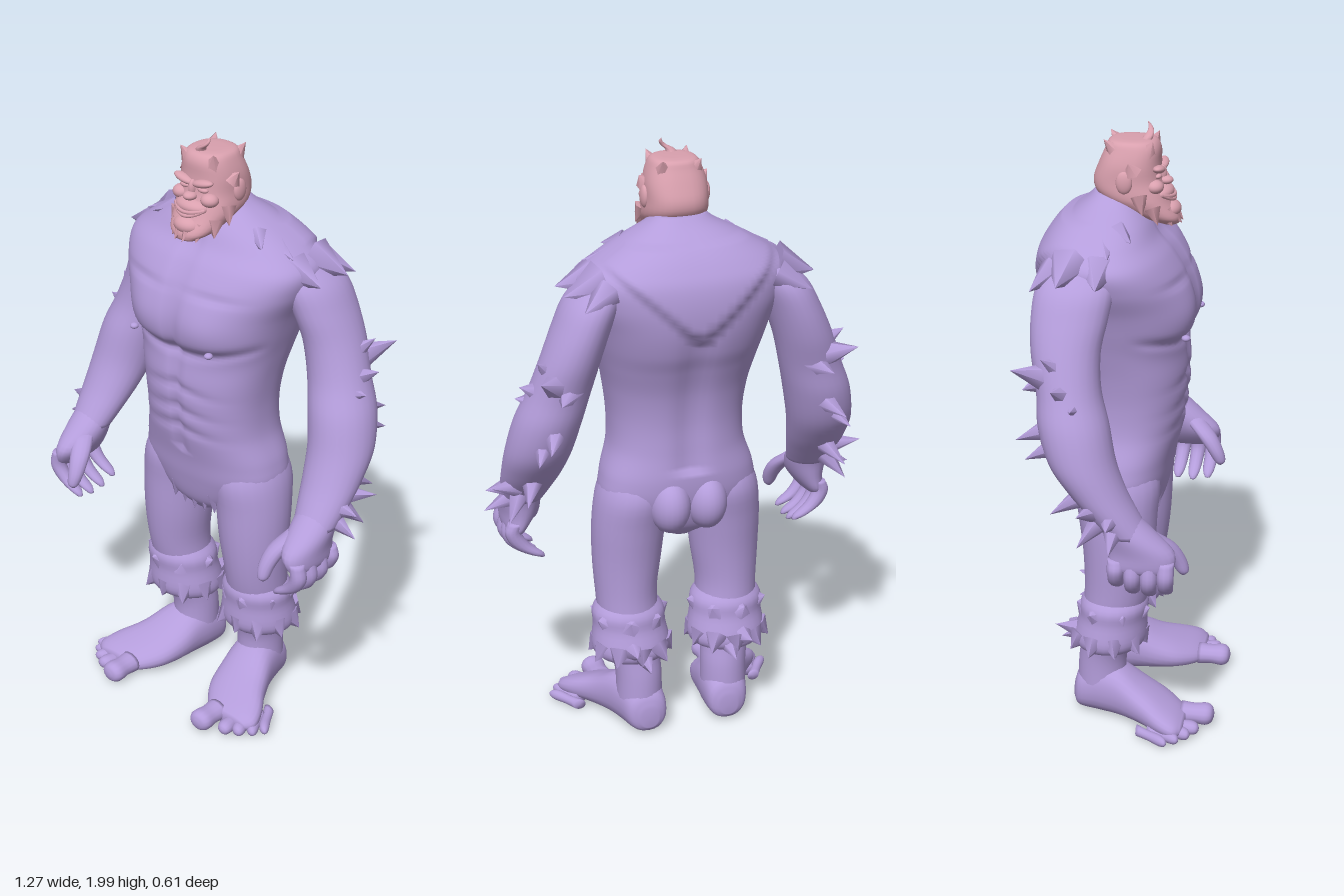
import * as THREE from 'three';
import { mergeGeometries } from 'three/addons/utils/BufferGeometryUtils.js';

const V = (x, y, z) => new THREE.Vector3(x, y, z);
const X = V(1, 0, 0), Y = V(0, 1, 0), Z = V(0, 0, 1);

// Smooth closed skin through sections [x, y, z, ru, rv]; rings lie in the u/v plane
function loft(sections, { u = X, v = Z, seg = 24, steps = 4, n = 2, rule } = {}) {
  const path = new THREE.CatmullRomCurve3(sections.map(s => V(s[0], s[1], s[2])), false, 'catmullrom');
  const radii = new THREE.CatmullRomCurve3(sections.map(s => V(s[3], s[4], 0)), false, 'catmullrom');
  const rows = (sections.length - 1) * steps, pos = [], idx = [];
  const pw = c => Math.sign(c) * Math.abs(c) ** (2 / n);
  for (let i = 0; i <= rows; i++) {
    const c = path.getPoint(i / rows), r = radii.getPoint(i / rows);
    for (let j = 0; j < seg; j++) {
      const a = j / seg * Math.PI * 2;
      const p = c.clone().addScaledVector(u, r.x * pw(Math.cos(a))).addScaledVector(v, r.y * pw(Math.sin(a)));
      if (rule) rule(p);
      pos.push(p.x, p.y, p.z);
    }
  }
  const first = path.getPoint(0), last = path.getPoint(1);
  pos.push(...first.toArray(), ...last.toArray());
  const out = u.clone().cross(v).dot(last.clone().sub(first)) > 0;
  const tri = (a, b, c) => out ? idx.push(a, b, c) : idx.push(a, c, b);
  for (let j = 0; j < seg; j++) {
    const k = (j + 1) % seg;
    for (let i = 0; i < rows; i++) {
      const a = i * seg + j, b = i * seg + k;
      tri(a, b, b + seg);
      tri(a, b + seg, a + seg);
    }
    tri((rows + 1) * seg, k, j);
    tri((rows + 1) * seg + 1, rows * seg + j, rows * seg + k);
  }
  const g = new THREE.BufferGeometry();
  g.setAttribute('position', new THREE.Float32BufferAttribute(pos, 3));
  g.setIndex(idx);
  g.computeVertexNormals();
  return g;
}

// Ellipsoid with optional tilt about z
function blob(x, y, z, rx, ry, rz, tilt = 0) {
  return new THREE.SphereGeometry(1, 24, 16).scale(rx, ry, rz).rotateZ(tilt).translate(x, y, z);
}

// Pointed tuft of fur from base to tip
function spike(base, tip, r) {
  const d = V(...tip).sub(V(...base)), len = d.length();
  const g = new THREE.ConeGeometry(r, len, 6).translate(0, len / 2, 0);
  return g.applyQuaternion(new THREE.Quaternion().setFromUnitVectors(Y, d.normalize())).translate(...base);
}

function mirrored(g) {
  const m = g.clone().scale(-1, 1, 1), a = m.index.array;
  for (let i = 0; i < a.length; i += 3) [a[i], a[i + 1]] = [a[i + 1], a[i]];
  return m;
}

// Ring of tufts around a limb
function tuftRing(c, rx, rz, count, drop, reach, r) {
  return mergeGeometries(Array.from({ length: count }, (_, i) => {
    const a = (i + 0.5) / count * Math.PI * 2, k = reach * (1 + 0.25 * Math.sin(i * 2.4));
    const ca = Math.cos(a), sa = Math.sin(a);
    return spike([c[0] + ca * rx, c[1], c[2] + sa * rz], [c[0] + ca * (rx + k), c[1] - drop, c[2] + sa * (rz + k)], r);
  }));
}

const gauss = (d, w) => Math.exp(-(d * d) / (w * w));

// Muscle relief on the chest and belly, hood of fur and spine groove on the back
function torsoRelief(p) {
  const ax = Math.abs(p.x), { y } = p;
  if (p.z > 0.02) {
    const f = Math.min(1, (p.z - 0.02) / 0.06);
    p.z -= f * 0.012 * gauss(p.x, 0.018) * (y > 0.95 ? 1 : 0);
    p.z += f * 0.02 * gauss(ax - 0.13, 0.11) * gauss(y - 1.42, 0.09);
    p.z -= f * 0.014 * gauss(y - 1.325 - ax * ax * 0.6, 0.018);
    for (const row of [1.2, 1.12, 1.05]) p.z -= f * 0.009 * gauss(y - row + ax * 0.15, 0.014) * gauss(ax, 0.13);
    p.z -= f * 0.008 * gauss(y - 1.535, 0.012) * gauss(ax - 0.14, 0.09);
  } else if (p.z < -0.1) {
    const hood = THREE.MathUtils.smoothstep(y, 1.41 + ax * 0.9, 1.44 + ax * 0.9);
    p.z += 0.018 * (1 - hood) * gauss(p.x, 0.05) * (y > 0.95 ? 1 : 0);
    p.z -= 0.018 * hood * (y < 1.72 ? 1 : 0);
  }
}

export function createModel() {
  const model = new THREE.Group();
  model.name = 'furryGiant';
  const fur = new THREE.MeshStandardMaterial({ color: 0xb49ddb });
  fur.name = 'purpleFur';
  const skin = new THREE.MeshStandardMaterial({ color: 0xd9a0ae });
  skin.name = 'pinkSkin';
  const add = (name, g, mat = fur) => {
    const m = new THREE.Mesh(g, mat);
    m.name = name;
    model.add(m);
  };
  const pair = (name, g, mat = fur) => {
    add(name + 'Left', g, mat);
    add(name + 'Right', mirrored(g), mat);
  };

  // Torso from [y, half width, front z, back z]
  const body = [[0.7, 0.05, 0.06, -0.1], [0.75, 0.17, 0.1, -0.15], [0.84, 0.255, 0.125, -0.18], [0.92, 0.255, 0.14, -0.19],
    [1.02, 0.225, 0.165, -0.185], [1.12, 0.222, 0.178, -0.185], [1.22, 0.235, 0.182, -0.2], [1.31, 0.255, 0.175, -0.23],
    [1.38, 0.275, 0.195, -0.26], [1.46, 0.3, 0.195, -0.28], [1.54, 0.335, 0.175, -0.285], [1.61, 0.345, 0.135, -0.275],
    [1.66, 0.295, 0.09, -0.25], [1.71, 0.215, 0.06, -0.21], [1.76, 0.12, 0.02, -0.15], [1.79, 0.08, 0, -0.12]];
  add('torso', loft(body.map(([y, w, f, b]) => [0, y, (f + b) / 2, w, (f - b) / 2]), { seg: 80, steps: 7, n: 2.35, rule: torsoRelief }));
  pair('nipple', blob(0.16, 1.36, 0.192, 0.014, 0.01, 0.014));
  pair('buttock', blob(0.062, 0.835, -0.145, 0.068, 0.095, 0.085));
  add('loinFur', mergeGeometries([-0.08, -0.04, 0, 0.04, 0.08].map(x =>
    spike([x, 0.79, 0.08], [x * 1.1, 0.7 + Math.abs(x) * 0.2, 0.085], 0.03))));

  // Shoulder and collar fur
  pair('shoulderFur', mergeGeometries([
    spike([0.29, 1.61, -0.06], [0.405, 1.585, -0.05], 0.06),
    spike([0.29, 1.62, -0.15], [0.41, 1.59, -0.17], 0.07),
    spike([0.28, 1.6, -0.2], [0.37, 1.56, -0.26], 0.05),
    spike([0.23, 1.66, -0.05], [0.31, 1.655, -0.03], 0.04),
    spike([0.17, 1.7, -0.02], [0.23, 1.685, 0.03], 0.035)]));

  // Arms
  pair('arm', loft([[0.27, 1.62, -0.12, 0.06, 0.09], [0.31, 1.56, -0.13, 0.085, 0.12], [0.347, 1.48, -0.14, 0.09, 0.12],
    [0.385, 1.38, -0.145, 0.095, 0.108], [0.42, 1.27, -0.13, 0.102, 0.1], [0.453, 1.17, -0.11, 0.11, 0.11],
    [0.477, 1.06, -0.08, 0.108, 0.105], [0.488, 0.97, -0.03, 0.098, 0.09], [0.495, 0.9, 0.02, 0.085, 0.078],
    [0.5, 0.84, 0.065, 0.07, 0.07]], { steps: 5 }));
  pair('elbowFur', mergeGeometries([
    spike([0.44, 1.33, -0.14], [0.505, 1.395, -0.2], 0.045),
    spike([0.47, 1.27, -0.13], [0.555, 1.31, -0.16], 0.045),
    spike([0.48, 1.23, -0.1], [0.555, 1.25, -0.1], 0.04),
    spike([0.44, 1.31, -0.19], [0.52, 1.36, -0.29], 0.05),
    spike([0.4, 1.29, -0.19], [0.45, 1.27, -0.27], 0.05),
    spike([0.45, 1.15, -0.18], [0.49, 1.12, -0.285], 0.04),
    spike([0.48, 1.11, -0.15], [0.52, 1.07, -0.25], 0.04)]));
  pair('wristFur', mergeGeometries([
    spike([0.54, 0.92, -0.03], [0.635, 0.94, -0.07], 0.035),
    spike([0.55, 0.9, 0.02], [0.63, 0.895, 0.02], 0.035),
    spike([0.54, 0.86, 0.03], [0.635, 0.82, 0.03], 0.035),
    spike([0.53, 0.88, -0.02], [0.58, 0.81, -0.08], 0.035),
    spike([0.5, 0.95, -0.08], [0.54, 0.9, -0.17], 0.035)]));

  // Hands with curled fingers and a thumb
  pair('palm', loft([[0.498, 0.9, 0.03, 0.06, 0.06], [0.5, 0.84, 0.075, 0.068, 0.08], [0.505, 0.78, 0.11, 0.058, 0.105],
    [0.52, 0.73, 0.11, 0.038, 0.098], [0.52, 0.71, 0.11, 0.015, 0.07]]));
  const fingers = [0, 1, 2, 3].map(i => {
    const z = 0.19 - i * 0.052, drop = [0.01, 0, 0.005, 0.025][i];
    return loft([[0.53, 0.76, z, 0.025, 0.026], [0.54, 0.7 + drop, z, 0.027, 0.027], [0.515, 0.655 + drop, z - 0.003, 0.03, 0.024],
      [0.47, 0.622 + drop, z - 0.006, 0.026, 0.02], [0.445, 0.605 + drop, z - 0.006, 0.01, 0.01]], { seg: 12 });
  });
  pair('fingers', mergeGeometries(fingers));
  pair('thumb', loft([[0.48, 0.83, 0.12, 0.035, 0.035], [0.445, 0.78, 0.175, 0.034, 0.034], [0.43, 0.73, 0.21, 0.028, 0.028],
    [0.428, 0.69, 0.228, 0.02, 0.02], [0.428, 0.675, 0.23, 0.008, 0.008]], { seg: 14 }));

  // Legs with furry cuffs
  pair('leg', loft([[0.14, 0.95, -0.03, 0.09, 0.1], [0.15, 0.86, -0.03, 0.12, 0.14], [0.163, 0.75, -0.025, 0.122, 0.13],
    [0.17, 0.62, -0.02, 0.115, 0.118], [0.175, 0.5, -0.025, 0.103, 0.108], [0.17, 0.4, -0.04, 0.1, 0.1],
    [0.158, 0.28, -0.065, 0.082, 0.085], [0.15, 0.2, -0.08, 0.077, 0.08], [0.15, 0.08, -0.08, 0.077, 0.085]]));
  pair('cuff', loft([[0.172, 0.47, -0.03, 0.09, 0.09], [0.172, 0.43, -0.035, 0.12, 0.112], [0.17, 0.38, -0.04, 0.122, 0.112],
    [0.168, 0.31, -0.05, 0.132, 0.122], [0.165, 0.275, -0.055, 0.115, 0.105], [0.16, 0.265, -0.06, 0.07, 0.07]]));
  pair('cuffFur', mergeGeometries([
    tuftRing([0.168, 0.32, -0.055], 0.105, 0.1, 10, 0.045, 0.038, 0.042),
    tuftRing([0.17, 0.41, -0.04], 0.1, 0.095, 7, -0.015, 0.03, 0.04),
    spike([0.19, 0.32, -0.14], [0.2, 0.335, -0.23], 0.04),
    spike([0.15, 0.29, -0.14], [0.15, 0.265, -0.22], 0.035)]));

  // Splayed feet and toes
  pair('foot', loft([[0.14, 0.07, -0.175, 0.03, 0.035], [0.142, 0.085, -0.155, 0.065, 0.07], [0.15, 0.1, -0.09, 0.08, 0.09],
    [0.165, 0.098, -0.02, 0.09, 0.088], [0.19, 0.075, 0.06, 0.105, 0.065], [0.225, 0.058, 0.13, 0.118, 0.048],
    [0.255, 0.045, 0.185, 0.105, 0.035], [0.26, 0.04, 0.215, 0.07, 0.02]], { u: X, v: Y, n: 2.3 }));
  const toes = [[0.205, 0.305, 0.042], [0.283, 0.265, 0.027], [0.325, 0.24, 0.025], [0.36, 0.208, 0.023], [0.385, 0.172, 0.021]];
  pair('toes', mergeGeometries(toes.map(([x, z, r], i) => {
    const dx = i * 0.017, at = (t, k) => [x - dx * t, 0.008 + r * 0.9, z - 0.11 * t, r * k, r * 0.85 * k];
    return loft([at(1, 1), at(0.6, 0.9), at(0.25, 1), at(0.07, 0.75), at(0, 0.25)], { u: X, v: Y, seg: 14 });
  })));

  // Head from [y, half width, front z, back z]
  const skull = [[1.69, 0.04, 0.145, 0.085], [1.715, 0.075, 0.145, 0.02], [1.76, 0.098, 0.12, -0.07], [1.79, 0.103, 0.108, -0.115],
    [1.83, 0.1, 0.092, -0.125], [1.88, 0.098, 0.086, -0.108], [1.925, 0.085, 0.085, -0.088], [1.95, 0.07, 0.07, -0.075], [1.956, 0.04, 0.04, -0.04]];
  add('head', loft(skull.map(([y, w, f, b]) => [0, y, (f + b) / 2, w, (f - b) / 2]), { seg: 32, n: 2.4 }), skin);
  pair('brow', blob(0.037, 1.866, 0.084, 0.042, 0.013, 0.02, 0.2), skin);
  pair('eye', blob(0.037, 1.845, 0.082, 0.02, 0.009, 0.012), skin);
  pair('cheek', blob(0.058, 1.815, 0.075, 0.03, 0.022, 0.028), skin);
  add('nose', mergeGeometries([blob(0, 1.823, 0.1, 0.022, 0.014, 0.024), blob(0, 1.845, 0.088, 0.012, 0.028, 0.016)]), skin);
  add('muzzle', blob(0, 1.788, 0.085, 0.065, 0.026, 0.042), skin);
  const lip = sag => new THREE.TubeGeometry(new THREE.QuadraticBezierCurve3(V(-0.06, 1.788, 0.1), V(0, 1.788 - sag, 0.158), V(0.06, 1.788, 0.1)), 16, 0.006, 8);
  add('lips', mergeGeometries([lip(0.02), lip(0.045)]), skin);
  add('chin', blob(0, 1.732, 0.11, 0.05, 0.03, 0.04), skin);
  pair('ear', blob(0.1, 1.835, -0.015, 0.014, 0.036, 0.026), skin);
  pair('beardFur', mergeGeometries([
    spike([0.09, 1.79, 0.03], [0.112, 1.735, 0.045], 0.03),
    spike([0.075, 1.75, 0.07], [0.09, 1.7, 0.09], 0.03),
    spike([0.04, 1.73, 0.1], [0.05, 1.688, 0.13], 0.03),
    spike([0.015, 1.73, 0.12], [0.015, 1.69, 0.155], 0.025)]), skin);

  // Hair corners and the curled forelock
  pair('hairFur', mergeGeometries([
    spike([0.05, 1.92, 0.05], [0.068, 1.962, 0.07], 0.028),
    spike([0.05, 1.92, -0.05], [0.062, 1.96, -0.085], 0.03),
    spike([0.09, 1.87, 0.01], [0.112, 1.9, 0], 0.03)]), skin);
  add('forelock', loft([[-0.01, 1.935, 0.03, 0.022, 0.022], [-0.005, 1.96, 0.045, 0.016, 0.016], [0.015, 1.975, 0.05, 0.01, 0.01],
    [0.026, 1.988, 0.046, 0.006, 0.006], [0.026, 2, 0.04, 0.001, 0.001]], { seg: 10 }), skin);
  return model;
}
